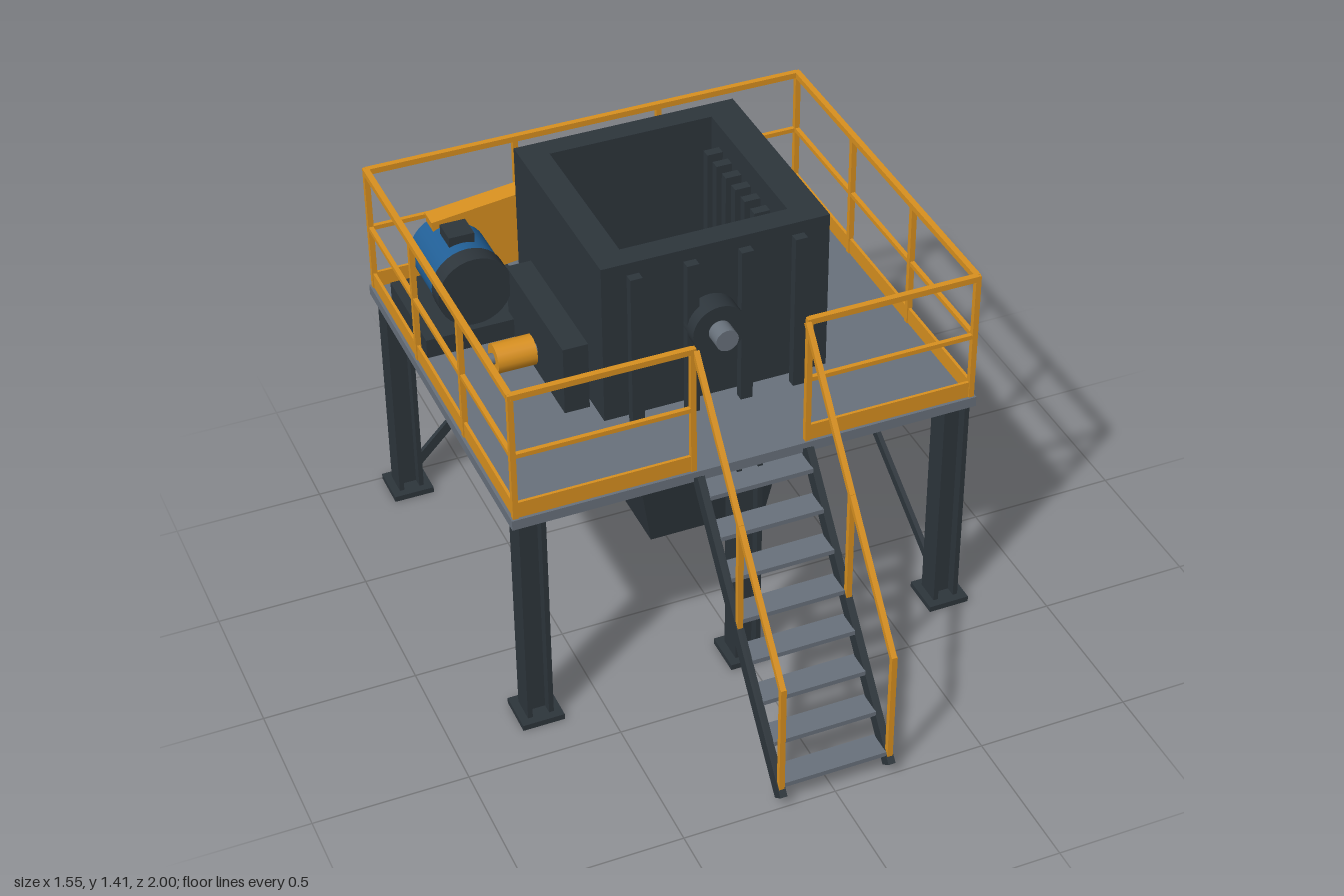
import * as THREE from 'three';

const mat = (name, color) => {
  const m = new THREE.MeshStandardMaterial({ color });
  m.name = name;
  return m;
};

export function createModel() {
  const root = new THREE.Group();
  root.name = 'hopperPlatform';
  const dark = mat('darkSteel', 0x2d353b);
  const steel = mat('greySteel', 0x68717b);
  const orange = mat('safetyOrange', 0xd8901f);
  const blue = mat('motorBlue', 0x215f96);

  const group = (name) => {
    const g = new THREE.Group();
    g.name = name;
    root.add(g);
    return g;
  };
  const add = (parent, name, geo, m) => {
    const mesh = new THREE.Mesh(geo, m);
    mesh.name = name;
    parent.add(mesh);
    return mesh;
  };
  // Box given by its limits on each axis
  const box = (parent, name, m, x0, x1, y0, y1, z0, z1) => {
    const b = add(parent, name, new THREE.BoxGeometry(x1 - x0, y1 - y0, z1 - z0), m);
    b.position.set((x0 + x1) / 2, (y0 + y1) / 2, (z0 + z1) / 2);
    return b;
  };
  // Straight bar between two points
  const bar = (parent, name, m, a, b, w = 0.018, h = w) => {
    const p = new THREE.Vector3(...a), q = new THREE.Vector3(...b);
    const s = add(parent, name, new THREE.BoxGeometry(w, h, p.distanceTo(q)), m);
    s.position.copy(p).lerp(q, 0.5);
    s.lookAt(q);
    return s;
  };
  // Cylinder along z between z0 and z1
  const drumZ = (parent, name, m, r, x, y, z0, z1, n = 32) => {
    const c = add(parent, name, new THREE.CylinderGeometry(r, r, z1 - z0, n), m);
    c.rotation.x = Math.PI / 2;
    c.position.set(x, y, (z0 + z1) / 2);
    return c;
  };

  // Deck
  const deckY = 0.82;
  box(root, 'deck', steel, -0.77, 0.77, 0.785, deckY, -0.98, 0.35);

  // H-section legs on base plates
  const legs = group('legs');
  for (const x of [-0.706, 0, 0.706]) for (const z of [-0.927, 0.305]) {
    for (const s of [-1, 1])
      box(legs, 'legFlange', dark, x + s * 0.035 - 0.008, x + s * 0.035 + 0.008, 0.02, 0.785, z - 0.043, z + 0.043);
    box(legs, 'legWeb', dark, x - 0.03, x + 0.03, 0.02, 0.785, z - 0.008, z + 0.008);
    box(legs, 'basePlate', dark, x - 0.069, x + 0.069, 0, 0.02, z - 0.07, z + 0.07);
  }

  // Cross bracing at the back and on one side
  const bracing = group('crossBracing');
  for (const s of [-1, 1]) for (const [ya, yb] of [[0.75, 0.07], [0.07, 0.75]]) {
    const z = -0.927 + (ya > yb ? 0.008 : -0.008);
    bar(bracing, 'backBrace', dark, [s * 0.68, ya, z], [s * 0.02, yb, z], 0.016, 0.033);
  }
  for (const [ya, yb] of [[0.76, 0.07], [0.07, 0.76]]) {
    const x = 0.706 + (ya > yb ? 0.008 : -0.008);
    bar(bracing, 'sideBrace', dark, [x, ya, 0.28], [x, yb, -0.9], 0.016, 0.033);
  }

  // Guard railing with toe boards
  const railing = group('railing');
  const rx = 0.755, zf = 0.335, zb = -0.965;
  const run = (a, b, bays) => {
    const at = (t, y) => [a[0] + (b[0] - a[0]) * t, y, a[1] + (b[1] - a[1]) * t];
    bar(railing, 'topRail', orange, at(0, 1.265), at(1, 1.265), 0.02);
    bar(railing, 'midRail', orange, at(0, 1.05), at(1, 1.05), 0.015);
    bar(railing, 'toeBoard', orange, at(0, 0.848), at(1, 0.848), 0.01, 0.056);
    for (let i = 0; i <= bays; i++)
      bar(railing, 'railPost', orange, at(i / bays, deckY), at(i / bays, 1.274), 0.018);
  };
  run([-rx, zb], [rx, zb], 3);
  run([-rx, zf], [-rx, zb], 3);
  run([rx, zf], [rx, zb], 3);
  run([-rx, zf], [-0.183, zf], 1);
  run([rx, zf], [0.195, zf], 1);

  // Stairs
  const stairs = group('stairs');
  for (const x of [-0.174, 0.188]) {
    bar(stairs, 'stringer', dark, [x, 0.03, 0.985], [x, 0.805, 0.357], 0.024, 0.05);
    bar(stairs, 'handrail', orange, [x, 0.455, 0.98], [x, 1.262, 0.337], 0.018);
    bar(stairs, 'lowerPost', orange, [x, 0.05, 0.98], [x, 0.465, 0.98], 0.018);
    bar(stairs, 'middlePost', orange, [x, 0.43, 0.665], [x, 0.855, 0.665], 0.018);
  }
  for (let i = 0; i < 8; i++) {
    const y = 0.075 + i * 0.099, z = 0.942 - i * 0.08;
    box(stairs, 'tread', steel, -0.163, 0.177, y - 0.008, y + 0.008, z - 0.043, z + 0.043);
  }

  // Open chamber walls
  const chamber = group('chamber');
  const [x0, x1, z0, z1] = [-0.352, 0.396, -0.688, 0.042];
  const [y0, y1] = [0.85, 1.41];
  box(chamber, 'frontWall', dark, x0, x1, y0, y1, -0.037, z1);
  box(chamber, 'backWall', dark, x0, x1, y0, y1, z0, -0.614);
  box(chamber, 'leftWall', dark, 0.29, x1, y0, y1, -0.614, -0.037);
  box(chamber, 'rightWall', dark, x0, -0.26, y0, y1, -0.614, -0.037);
  for (const x of [-0.25, -0.067, 0.112, 0.29]) {
    box(chamber, 'frontRib', dark, x - 0.02, x + 0.02, deckY, 1.368, z1, z1 + 0.03);
    box(chamber, 'backRib', dark, x - 0.02, x + 0.02, deckY, 1.368, z0 - 0.03, z0);
  }
  for (let i = 0; i < 7; i++) {
    const z = -0.54 + i * 0.0725;
    box(chamber, 'linerBar', dark, 0.237, 0.29, 0.88, 1.33, z - 0.016, z + 0.016);
  }
  box(chamber, 'sideHousing', dark, -0.435, x0, deckY, 1.06, -0.57, -0.08);

  // Discharge cone below the deck, a box narrowed at the bottom
  const cone = new THREE.BoxGeometry(0.602, 0.56, 0.61);
  const p = cone.attributes.position;
  for (let i = 0; i < p.count; i++)
    if (p.getY(i) < 0) p.setXYZ(i, p.getX(i) * 0.673, p.getY(i), p.getZ(i) * 0.77);
  cone.computeVertexNormals();
  add(root, 'dischargeCone', cone, dark).position.set(0.046, 0.505, -0.31);

  // Rotor bearings and shaft ends
  const rotor = group('rotor');
  drumZ(rotor, 'frontBearing', dark, 0.088, 0, 1.14, z1, 0.118);
  drumZ(rotor, 'frontShaft', steel, 0.037, 0, 1.14, 0.1, 0.175);
  drumZ(rotor, 'backBearing', dark, 0.088, 0, 1.14, -0.762, z0);
  drumZ(rotor, 'backShaft', steel, 0.037, 0, 1.14, -0.815, -0.74);

  // Motor on its base with belt guard
  const drive = group('drive');
  box(drive, 'motorBase', dark, -0.73, -0.345, deckY, 0.888, -0.87, -0.52);
  drumZ(drive, 'motorBody', blue, 0.118, -0.55, 1.01, -0.835, -0.61);
  drumZ(drive, 'motorCap', dark, 0.123, -0.55, 1.01, -0.61, -0.545);
  box(drive, 'terminalBox', dark, -0.592, -0.507, 1.1, 1.155, -0.742, -0.655);
  drumZ(drive, 'motorShaft', orange, 0.029, -0.546, 1.01, -0.88, -0.82, 20);
  const guard = box(drive, 'beltGuard', orange, -0.597, 0.033, 0.935, 1.185, -0.838, -0.77);
  guard.rotation.z = 0.117;

  // Small actuator beside the chamber
  const actuator = group('actuator');
  for (const [name, m, r, len, x] of [['actuatorBody', orange, 0.05, 0.13, -0.511], ['actuatorRod', steel, 0.019, 0.168, -0.516]]) {
    const c = add(actuator, name, new THREE.CylinderGeometry(r, r, len, 16), m);
    c.rotation.z = Math.PI / 2;
    c.position.set(x, 0.905, -0.325);
  }
  return root;
}
